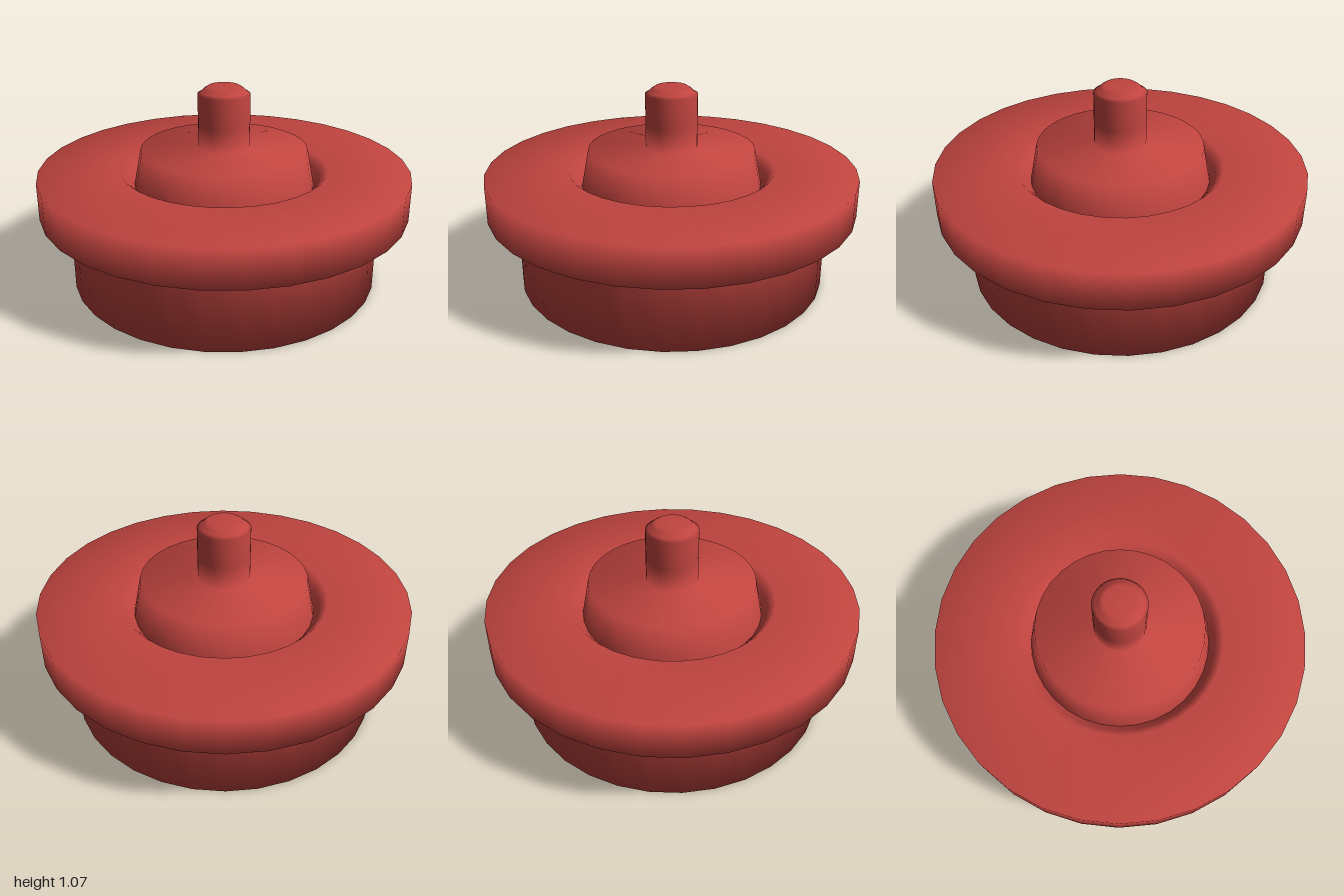
import * as THREE from 'three';

const SIDES = 32;

// Revolve a bottom-to-top [radius, height] profile about the y axis
function turned(name, profile, material) {
  const points = profile.map(([r, y]) => new THREE.Vector2(r, y));
  const mesh = new THREE.Mesh(new THREE.LatheGeometry(points, SIDES), material);
  mesh.name = name;
  return mesh;
}

export function createModel() {
  const model = new THREE.Group();
  model.name = 'stopper';
  const red = new THREE.MeshStandardMaterial({ color: 0xc0443f, side: THREE.DoubleSide });

  // Cylindrical plug with a closed base
  model.add(turned('plug', [[0, 0], [0.843, 0], [0.843, 0.415]], red));

  // Wide flange: small step beneath, straight rim, rounded lip into the groove
  model.add(turned('flange', [
    [0.843, 0.412], [0.87, 0.412], [0.87, 0.422], [1, 0.422],
    [1, 0.622], [0.56, 0.615], [0.52, 0.57], [0.49, 0.53],
  ], red));

  // Tapered hub rising from the groove, flowing into the stem with a rounded tip
  model.add(turned('hubAndStem', [
    [0.49, 0.53], [0.45, 0.73], [0.14, 0.73], [0.14, 0.86],
    [0.14, 1.025], [0.122, 1.035], [0.105, 1.052], [0.083, 1.066], [0, 1.066],
  ], red));

  return model;
}
